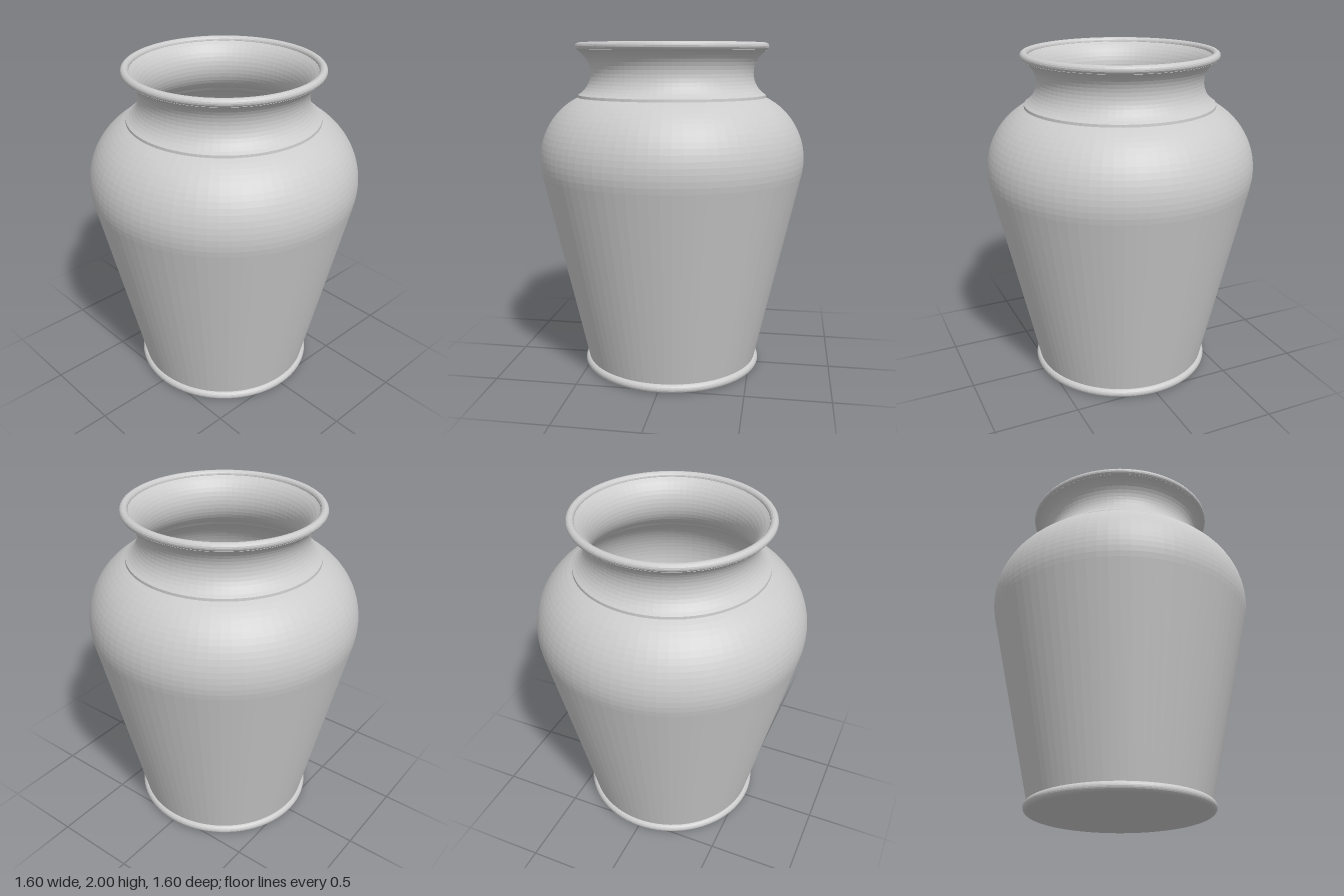
import * as THREE from 'three';

const SEGMENTS = 80;
const material = new THREE.MeshStandardMaterial({ color: 0xcccccc, flatShading: true });

// Points along an arc, angles in degrees
function arc(cx, cy, r, from, to, steps) {
  return Array.from({ length: steps + 1 }, (_, i) => {
    const a = THREE.MathUtils.degToRad(from + ((to - from) * i) / steps);
    return new THREE.Vector2(cx + r * Math.cos(a), cy + r * Math.sin(a));
  });
}

function turned(name, points) {
  const mesh = new THREE.Mesh(new THREE.LatheGeometry(points, SEGMENTS), material);
  mesh.name = name;
  return mesh;
}

export function createModel() {
  const group = new THREE.Group();
  group.name = 'vase';
  const p = (x, y) => new THREE.Vector2(x, y);
  const wall = 0.035;

  // Hollow body: tapered outside, round shoulder, waisted neck, then back down inside
  group.add(turned('body', [
    p(0, 0.004), p(0.52, 0.004), p(0.53, 0.05),
    ...arc(0.39, 1.31, 0.41, -12.5, 64.5, 16),
    ...arc(0.64, 1.825, 0.15, 240, 120, 14),
    p(0.555, 1.975),
    ...arc(0.64, 1.825, 0.15 + wall, 126, 240, 14),
    ...arc(0.39, 1.31, 0.41 - wall, 62, -12.5, 16),
    p(0.5, 0.05), p(0, 0.05),
  ]));

  // Rolled lip
  group.add(turned('lip', arc(0.555, 1.977, 0.023, -180, 180, 16)));

  // Rounded foot with a flat underside
  group.add(turned('foot', [
    p(0, 0), p(0.53, 0),
    ...arc(0.526, 0.027, 0.027, -65, 90, 10),
    p(0.51, 0.054),
  ]));

  return group;
}
